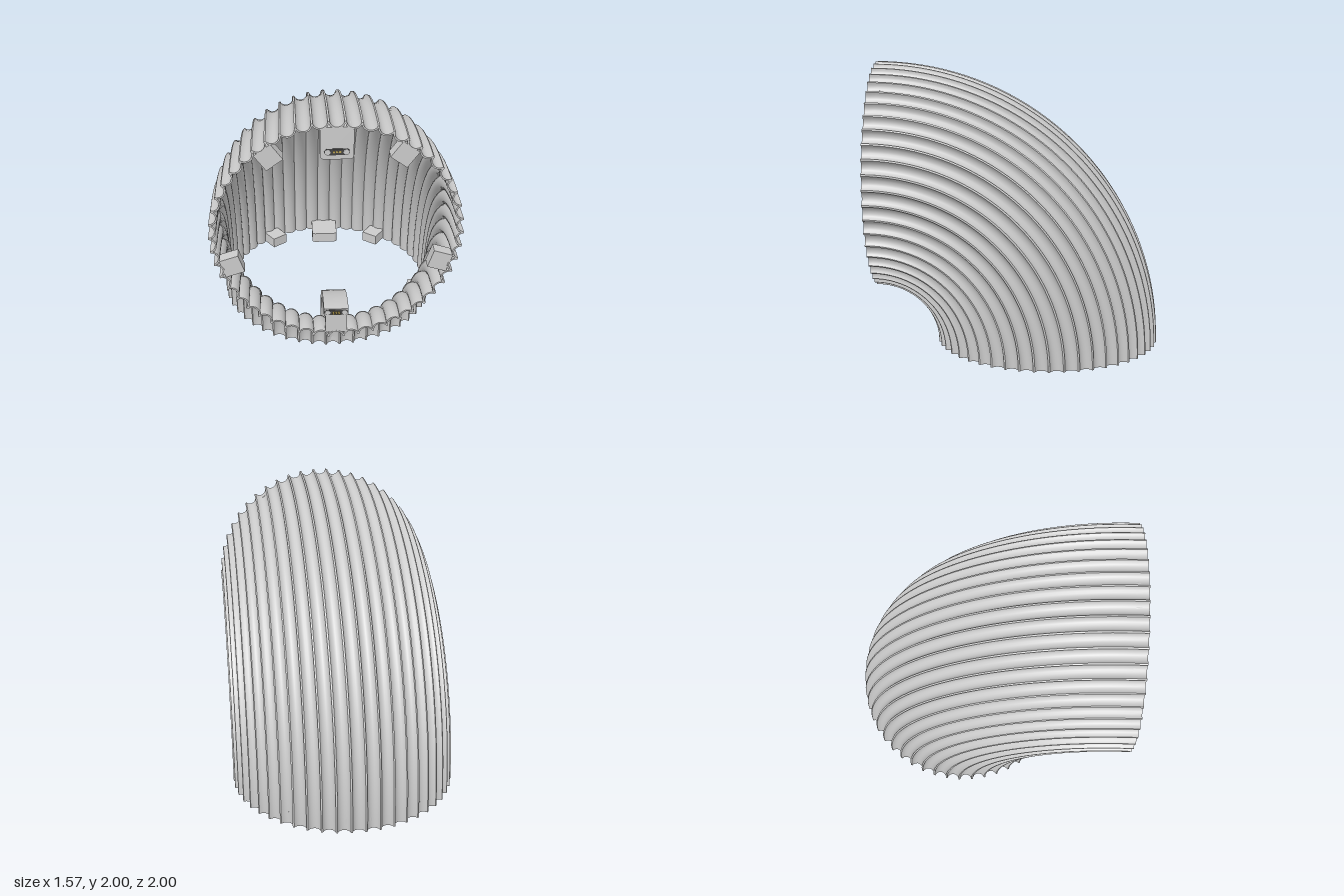
import * as THREE from 'three';
import { toCreasedNormals } from 'three/addons/utils/BufferGeometryUtils.js';

const BEND = 1.195;              // centre-line radius of the quarter bend
const FLUTES = 50, ARC = 9, STEPS = 40;
const grey = new THREE.MeshStandardMaterial({ color: 0xcccccc });
const dark = new THREE.MeshStandardMaterial({ color: 0x444444 });
const gold = new THREE.MeshStandardMaterial({ color: 0xb8a050 });

function add(parent, name, geometry, material = grey) {
  const mesh = new THREE.Mesh(geometry, material);
  mesh.name = name;
  parent.add(mesh);
  return mesh;
}

// Ring of concave scallops: arcs of radius r centred just outside the tube
function scallops(r, halfAngle) {
  const points = [];
  for (let f = 0; f < FLUTES; f++) {
    const a = (f / FLUTES) * Math.PI * 2;
    for (let i = 0; i < ARC; i++) {
      const b = halfAngle * ((2 * i) / (ARC - 1) - 1);
      const out = 0.791 - r * Math.cos(b), side = r * Math.sin(b);
      points.push([
        out * Math.sin(a) + side * Math.cos(a),
        out * Math.cos(a) - side * Math.sin(a),
      ]);
    }
  }
  return points;
}

// Thin fluted wall swept through 90 degrees, with closed end rims
function wallGeometry() {
  const outer = scallops(0.044, 1.43), inner = scallops(0.054, 1.14);
  const n = outer.length, rows = [];
  for (let i = 0; i <= STEPS; i++) rows.push([outer, i / STEPS]);
  for (let i = STEPS; i >= 0; i--) rows.push([inner, i / STEPS]);
  const position = [], index = [];
  for (const [section, s] of rows) {
    const t = (s * Math.PI) / 2;
    for (const [x, v] of section) {
      position.push(x, (BEND + v) * Math.cos(t), -(BEND + v) * Math.sin(t));
    }
  }
  for (let i = 0; i < rows.length; i++) {
    const r0 = i * n, r1 = ((i + 1) % rows.length) * n;
    for (let j = 0; j < n; j++) {
      const k = (j + 1) % n;
      index.push(r0 + j, r0 + k, r1 + j, r0 + k, r1 + k, r1 + j);
    }
  }
  const g = new THREE.BufferGeometry();
  g.setAttribute('position', new THREE.Float32BufferAttribute(position, 3));
  g.setIndex(index);
  // Make sure the faces point outwards at the crown of the bend
  const p = (i) => new THREE.Vector3().fromBufferAttribute(g.attributes.position, i);
  const m = (ARC - 1) / 2;
  const normal = p(m + 1).sub(p(m)).cross(p(m + n).sub(p(m)));
  if (normal.y < 0) {
    for (let i = 0; i < index.length; i += 3) [index[i], index[i + 1]] = [index[i + 1], index[i]];
    g.setIndex(index);
  }
  return toCreasedNormals(g, 0.6);
}

// Rounded plate centred on the origin, thickness along z
function plate(w, h, depth, r) {
  const s = new THREE.Shape();
  const x = w / 2 - r, y = h / 2 - r;
  s.absarc(x, y, r, 0, Math.PI / 2);
  s.absarc(-x, y, r, Math.PI / 2, Math.PI);
  s.absarc(-x, -y, r, Math.PI, Math.PI * 1.5);
  s.absarc(x, -y, r, Math.PI * 1.5, Math.PI * 2);
  const g = new THREE.ExtrudeGeometry(s, { depth, bevelEnabled: false, curveSegments: 6 });
  return g.translate(0, 0, -depth / 2);
}

// Contact strip: dark bar, two end magnets and three pins
function connector(s, male) {
  const group = new THREE.Group();
  group.name = 'connector';
  add(group, 'contactBar', plate(0.15, 0.042, 0.004, 0.02), dark);
  const disc = (name, x, r, length, material) => {
    const g = new THREE.CylinderGeometry(r, r, length, 16).rotateX(Math.PI / 2);
    add(group, name, g, material).position.set(x, 0, (s * length) / 2);
  };
  for (const x of [-0.055, 0.055]) disc('magnet', x, 0.017, 0.004, grey);
  for (const x of [-0.018, 0, 0.018]) disc('pin', x, 0.007, male ? 0.018 : 0.004, gold);
  return group;
}

// Everything fixed at one open end; s is the outward direction along z
function endFittings(name, s) {
  const end = new THREE.Group();
  end.name = name;

  // Five mounting blocks around the inside of the rim
  for (let i = 0; i < 5; i++) {
    const a = Math.PI / 5 + (i * Math.PI * 2) / 5;
    const block = add(end, 'mountingBlock', new THREE.BoxGeometry(0.125, 0.125, 0.08));
    block.position.set(0.685 * Math.sin(a), BEND + 0.685 * Math.cos(a), -s * 0.043);
    block.rotation.z = -a;
  }

  // Large tab on the outer side of the bend
  add(end, 'outerTab', plate(0.2, 0.21, 0.08, 0.025)).position.set(0, 1.835, -s * 0.041);
  const outer = connector(s, s < 0);
  outer.position.set(0, 1.78, 0);
  end.add(outer);

  // Post on the inner side that carries the conduit
  add(end, 'innerPost', new THREE.BoxGeometry(0.14, 0.17, 0.06))
    .position.set(0, 0.53, -s * 0.031);
  const inner = connector(s, s > 0);
  inner.position.set(0, 0.607, 0);
  end.add(inner);
  return end;
}

export function createModel() {
  const model = new THREE.Group();
  model.name = 'flutedElbow';
  const elbow = new THREE.Group();
  elbow.name = 'elbow';
  elbow.position.set(0, 0.02, 0.98);
  model.add(elbow);

  add(elbow, 'flutedWall', wallGeometry());

  // Curved conduit joining the two inner posts
  const band = new THREE.Shape();
  band.absarc(0, 0, 0.633, 0, Math.PI / 2, false);
  band.absarc(0, 0, 0.58, Math.PI / 2, 0, true);
  const conduit = new THREE.ExtrudeGeometry(band, { depth: 0.16, bevelEnabled: false, curveSegments: 32 });
  conduit.translate(0, 0, -0.08).rotateY(Math.PI / 2);
  add(elbow, 'conduit', toCreasedNormals(conduit, 0.5));

  elbow.add(endFittings('frontEnd', 1));
  const bottom = endFittings('bottomEnd', -1);
  bottom.rotation.x = -Math.PI / 2;
  elbow.add(bottom);
  return model;
}
